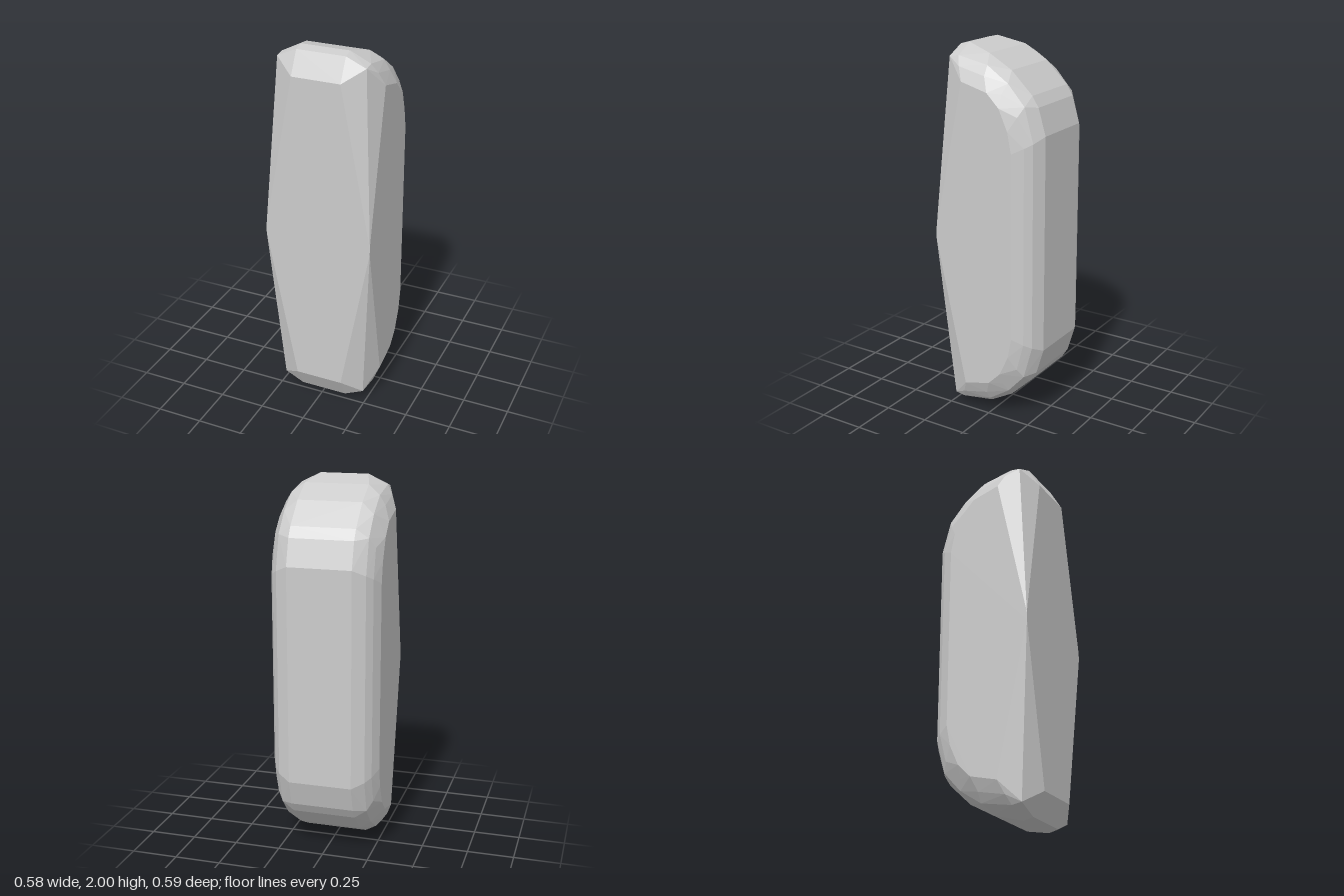
import * as THREE from 'three';
import { ConvexGeometry } from 'three/addons/geometries/ConvexGeometry.js';

// Each contour: half width x, then [z, distance from mid height] along the upper edge.
const contours = [
  // front face: wide at mid height, narrow towards both ends
  [0.292, [[0.293, 0.02]]],
  [0.13, [[0.292, 0.87], [0.228, 0.988], [0.175, 1.0]]],
  // back and end surface
  [0.17, [[0.03, 0.963], [-0.1, 0.89], [-0.22, 0.775], [-0.255, 0.72], [-0.297, 0.58]]],
  // rounded edge, two bevel steps
  [0.235, [[0.225, 0.94], [0.17, 0.948], [0.0, 0.915], [-0.12, 0.835], [-0.215, 0.73], [-0.265, 0.55]]],
  [0.265, [[0.15, 0.9], [0.0, 0.865], [-0.1, 0.785], [-0.19, 0.68], [-0.23, 0.53]]],
  // flat side
  [0.292, [[0.12, 0.83], [-0.03, 0.79], [-0.1, 0.72], [-0.15, 0.61], [-0.172, 0.5]]],
];

export function createModel() {
  const group = new THREE.Group();
  group.name = 'facetedBlock';

  // Mirror every contour left/right and top/bottom, then wrap a faceted shell around them
  const points = [];
  for (const [x, edge] of contours) {
    for (const [z, h] of edge) {
      for (const sx of [-1, 1]) {
        for (const sy of [-1, 1]) points.push(new THREE.Vector3(sx * x, 1 + sy * h, z));
      }
    }
  }
  const body = new THREE.Mesh(
    new ConvexGeometry(points),
    new THREE.MeshStandardMaterial({ color: 0xcccccc, flatShading: true })
  );
  body.name = 'body';
  group.add(body);
  return group;
}
